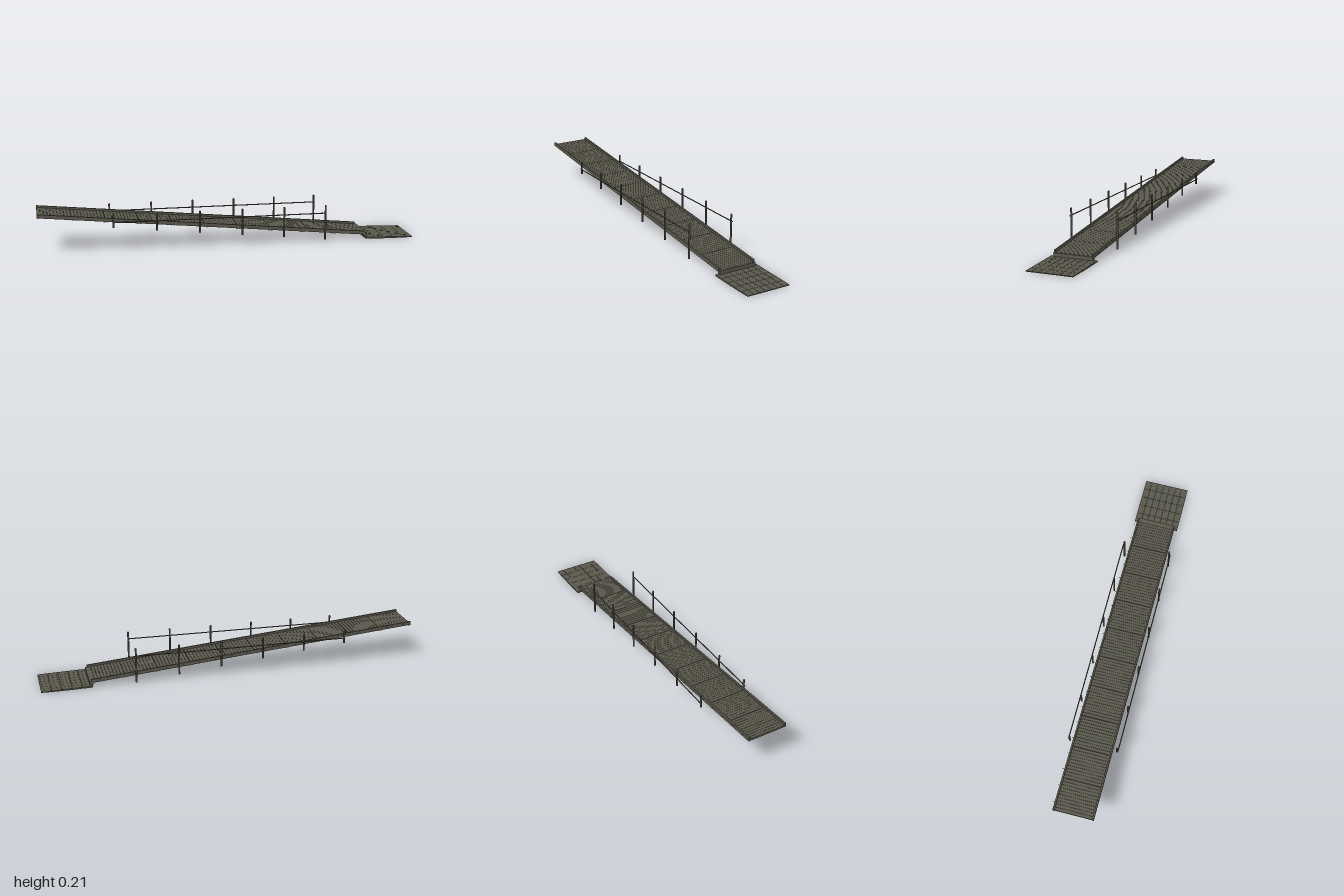
import * as THREE from 'three';

export function createModel() {
  const model = new THREE.Group();
  model.name = 'accessRamp';
  const metal = new THREE.MeshStandardMaterial({ color: 0x5a584c });
  metal.name = 'dark olive metal';

  function add(parent, name, geometry, x, y, z) {
    const mesh = new THREE.Mesh(geometry, metal);
    mesh.name = name;
    mesh.position.set(x, y, z);
    parent.add(mesh);
    return mesh;
  }

  // Sloping deck: local x runs downhill, local y = 0 is the walking surface
  const slope = 0.17 / 1.74;
  const length = 1.74 * Math.hypot(1, slope);
  const deck = new THREE.Group();
  deck.name = 'deck';
  deck.position.set(-0.13, 0.116, 0);
  deck.rotation.z = -Math.atan(slope);
  model.add(deck);

  // Ten panels, each made of narrow cross slats with fine gaps
  const panels = 10, slatsPerPanel = 10;
  const panelLength = length / panels;
  const pitch = (panelLength - 0.002) / slatsPerPanel;
  const slat = new THREE.BoxGeometry(pitch - 0.001, 0.008, 0.2);
  const crossBar = new THREE.BoxGeometry(0.006, 0.006, 0.2);
  const pin = new THREE.CylinderGeometry(0.001, 0.001, 0.012, 6).rotateX(Math.PI / 2);
  for (let p = 0; p < panels; p++) {
    const start = -length / 2 + p * panelLength + 0.001;
    for (let s = 0; s < slatsPerPanel; s++) {
      add(deck, 'deckSlat', slat, start + (s + 0.5) * pitch, -0.004, 0);
    }
    for (const f of [0.04, 0.96]) {
      add(deck, 'panelCrossBar', crossBar, start + f * panelLength, -0.01, 0);
    }
    // Small pins along the back edge
    for (const f of [0.25, 0.75]) {
      add(deck, 'edgePin', pin, start + f * panelLength, 0.002, -0.109);
    }
  }

  // Side curbs
  const curb = new THREE.BoxGeometry(length, 0.019, 0.009);
  for (const side of [-1, 1]) add(deck, 'sideCurb', curb, 0, 0.001, side * 0.1015);

  // Foot beam at the lower end
  add(model, 'footBeam', new THREE.BoxGeometry(0.018, 0.019, 0.21), 0.741, 0.0205, 0);

  // Landing apron: a grid of plates thinning towards the outer edge
  const rows = 5, columns = 7, x0 = 0.735, x1 = 1, halfWidth = 0.122;
  const stepX = (x1 - x0) / rows, stepZ = (2 * halfWidth) / columns;
  const apronTop = (x) => 0.012 - 0.008 * (x - x0) / (x1 - x0);
  const apron = new THREE.Group();
  apron.name = 'landingApron';
  model.add(apron);
  for (let i = 0; i < rows; i++) {
    const cx = x0 + (i + 0.5) * stepX;
    const plate = new THREE.BoxGeometry(stepX - 0.0012, 1, stepZ - 0.0012);
    const pos = plate.attributes.position;
    for (let v = 0; v < pos.count; v++) {
      const top = apronTop(cx + pos.getX(v));
      pos.setY(v, pos.getY(v) > 0 ? top : Math.max(0, top - 0.008));
    }
    plate.computeVertexNormals();
    for (let j = 0; j < columns; j++) {
      add(apron, 'apronPlate', plate, cx, 0, -halfWidth + (j + 0.5) * stepZ);
    }
  }

  // Posts with level tops whose feet follow the slope, joined by a level handrail
  const firstX = -0.615, spacing = 0.225, postTop = 0.2, railY = 0.158;
  for (const side of [-1, 1]) {
    const railing = new THREE.Group();
    railing.name = side > 0 ? 'frontRailing' : 'backRailing';
    model.add(railing);
    for (let i = 0; i < 6; i++) {
      const x = firstX + i * spacing;
      const foot = 0.129 - i * 0.0232;
      const h = postTop - foot;
      const post = new THREE.CylinderGeometry(0.005, 0.005, h - 0.003, 10);
      add(railing, 'post', post, x, foot + (h - 0.003) / 2, side * 0.125);
      const cap = new THREE.CylinderGeometry(0.003, 0.005, 0.003, 10);
      add(railing, 'postCap', cap, x, postTop - 0.0015, side * 0.125);
    }
    const rail = new THREE.CylinderGeometry(0.003, 0.003, 5 * spacing + 0.006, 8).rotateZ(Math.PI / 2);
    add(railing, 'handrail', rail, firstX + 2.5 * spacing, railY, side * 0.131);
  }

  return model;
}
